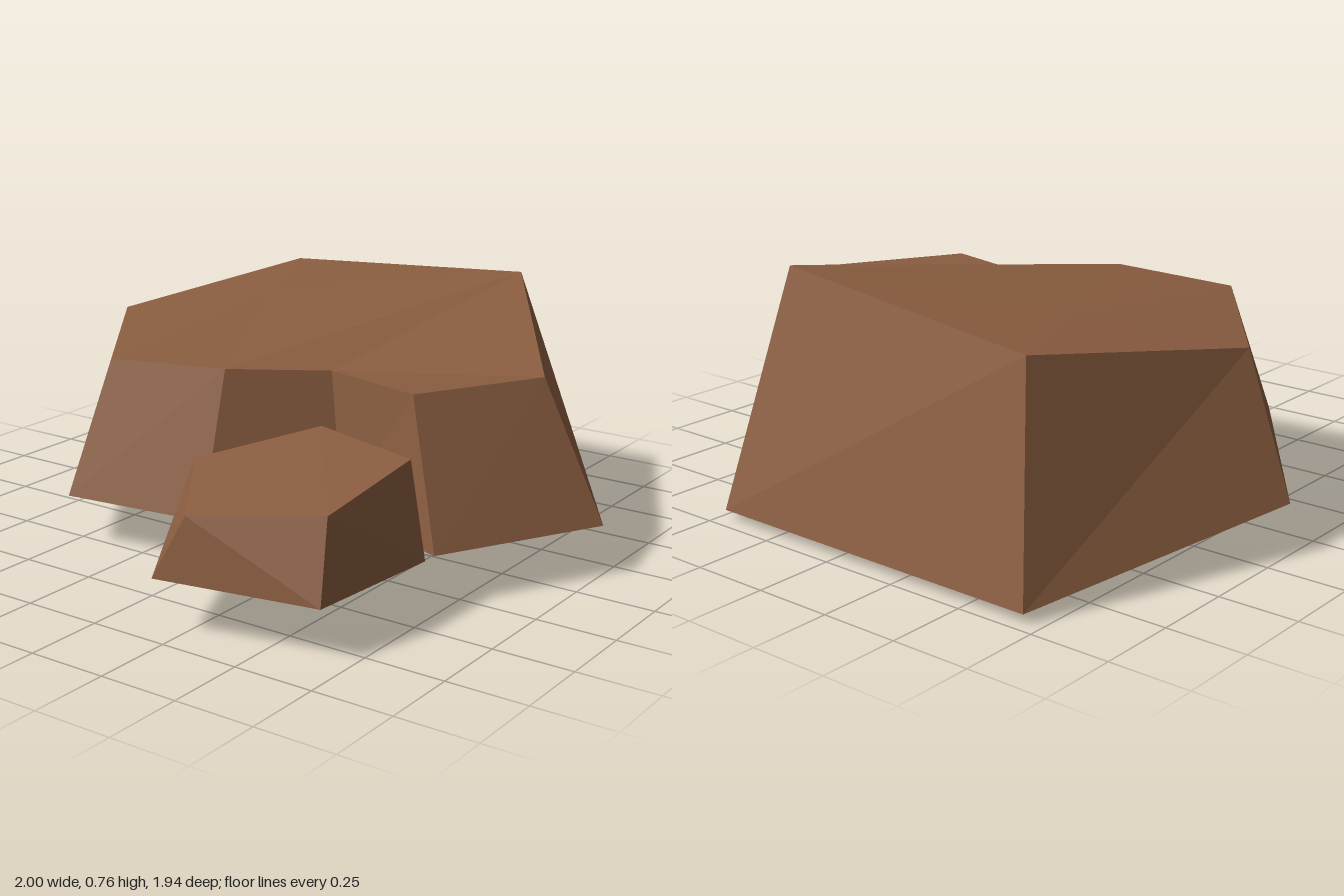
import * as THREE from 'three';

const brown = new THREE.MeshStandardMaterial({ color: 0x8a5d40 });
brown.name = 'earthBrown';

// Faceted rock: a lower and an upper ring joined by sides, closed by listed cap triangles.
// Rings run clockwise seen from above; points after the ring's n corners lie inside a cap.
function rock(name, n, lower, upper, lowerCap, upperCap, flipDiagonal) {
  const pos = [];
  const tri = (a, b, c) => pos.push(...a, ...b, ...c);
  for (let i = 0; i < n; i++) {
    const j = (i + 1) % n;
    const b0 = lower[i], b1 = lower[j], t0 = upper[i], t1 = upper[j];
    if (flipDiagonal) {
      tri(b1, b0, t1);
      tri(b0, t0, t1);
    } else {
      tri(b1, b0, t0);
      tri(b1, t0, t1);
    }
  }
  for (const [a, b, c] of lowerCap) tri(lower[a], lower[b], lower[c]);
  for (const [a, b, c] of upperCap) tri(upper[a], upper[c], upper[b]);
  const geometry = new THREE.BufferGeometry();
  geometry.setAttribute('position', new THREE.Float32BufferAttribute(pos, 3));
  geometry.computeVertexNormals();
  const mesh = new THREE.Mesh(geometry, brown);
  mesh.name = name;
  return mesh;
}

export function createModel() {
  const group = new THREE.Group();
  group.name = 'rocks';

  // Large rock with a notch at the front right
  const largeLower = [
    [-0.70, 0.03, -0.97], [0.47, 0.03, -0.96], [1.00, 0.16, -0.16], [0.72, 0.16, 0.35],
    [0.30, 0.16, 0.20], [0.00, 0.16, 0.51], [-0.49, 0.16, 0.57], [-1.00, 0.16, -0.14],
    [-0.20, 0.00, 0.10],
  ];
  const largeUpper = [
    [-0.59, 0.68, -0.82], [0.38, 0.76, -0.74], [0.79, 0.59, -0.15], [0.57, 0.59, 0.24],
    [0.23, 0.59, 0.16], [0.00, 0.61, 0.39], [-0.41, 0.59, 0.44], [-0.84, 0.59, -0.13],
    [-0.38, 0.67, -0.37],
  ];
  group.add(rock('largeRock', 8, largeLower, largeUpper,
    [[8, 0, 1], [8, 1, 2], [8, 2, 4], [2, 3, 4], [8, 4, 5], [8, 5, 6], [8, 6, 7], [8, 7, 0]],
    [[8, 0, 1], [8, 1, 5], [1, 4, 5], [1, 2, 4], [2, 3, 4], [8, 5, 6], [8, 6, 7], [8, 7, 0]],
    false));

  // Small five-sided rock set in front of the notch
  const smallLower = [
    [0.30, 0.11, 0.22], [0.72, 0.16, 0.40], [0.68, 0.16, 0.86], [0.19, 0.17, 0.97], [0.01, 0.16, 0.56],
  ];
  const smallUpper = [
    [0.27, 0.45, 0.27], [0.66, 0.45, 0.39], [0.66, 0.40, 0.80], [0.28, 0.36, 0.93], [0.04, 0.39, 0.59],
  ];
  const fan = [[0, 1, 2], [0, 2, 3], [0, 3, 4]];
  group.add(rock('smallRock', 5, smallLower, smallUpper, fan, fan, true));

  return group;
}
